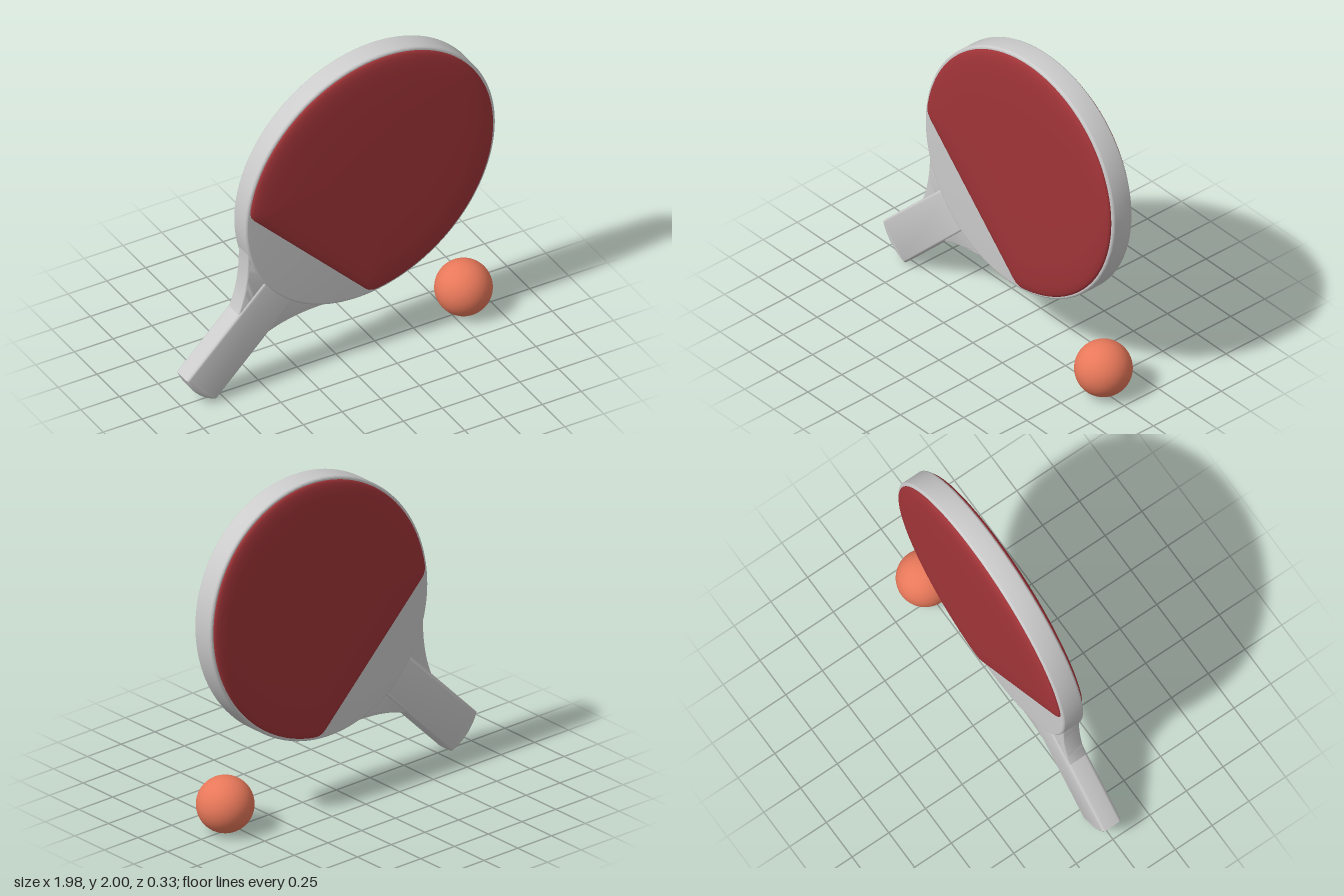
import * as THREE from 'three';
import { toCreasedNormals } from 'three/addons/utils/BufferGeometryUtils.js';

const grey = new THREE.MeshStandardMaterial({ color: 0xcccccc });
const red = new THREE.MeshStandardMaterial({ color: 0xa03438 });
const orange = new THREE.MeshStandardMaterial({ color: 0xe8785a });

function addMesh(parent, name, geometry, material) {
  const mesh = new THREE.Mesh(geometry, material);
  mesh.name = name;
  parent.add(mesh);
  return mesh;
}

// Slab centred on z = 0 with rounded edges; the shape keeps its outline size
function slab(shape, halfDepth, bevel, curveSegments) {
  const depth = 2 * (halfDepth - bevel);
  const geometry = new THREE.ExtrudeGeometry(shape, {
    depth, curveSegments, bevelEnabled: true, bevelSize: bevel,
    bevelThickness: bevel, bevelOffset: -bevel, bevelSegments: 4,
  });
  geometry.translate(0, 0, -depth / 2);
  return toCreasedNormals(geometry, 0.7);
}

// Domed pad: the outline is shrunk ring by ring towards a centre
function dome(outline, centreY, profile) {
  const n = outline.length;
  const positions = [], indices = [];
  for (const [scale, z] of profile) {
    for (const p of outline) {
      positions.push(p.x * scale, centreY + (p.y - centreY) * scale, z);
    }
  }
  for (let r = 0; r < profile.length - 1; r++) {
    for (let i = 0; i < n; i++) {
      const a = r * n + i, b = r * n + (i + 1) % n;
      indices.push(a, b, b + n, a, b + n, a + n);
    }
  }
  const top = positions.length / 3;
  const last = (profile.length - 1) * n;
  positions.push(0, centreY, profile[profile.length - 1][1]);
  for (let i = 0; i < n; i++) indices.push(last + i, last + (i + 1) % n, top);
  const geometry = new THREE.BufferGeometry();
  geometry.setAttribute('position', new THREE.Float32BufferAttribute(positions, 3));
  geometry.setIndex(indices);
  geometry.computeVertexNormals();
  return geometry;
}

export function createModel() {
  const model = new THREE.Group();

  // Paddle is built upright around the blade centre, then tilted
  const paddle = new THREE.Group();
  paddle.name = 'paddle';
  paddle.position.set(0.185, 1.195, 0);
  paddle.rotation.z = -Math.PI / 4;
  model.add(paddle);

  // Oval blade
  const a = 0.761, b = 0.847;
  const oval = new THREE.Shape();
  oval.absellipse(0, 0, a, b, 0, Math.PI * 2);
  addMesh(paddle, 'blade', slab(oval, 0.07, 0.014, 100), grey);

  // Rubber outline: oval cut by a straight chord with small rounded corners
  const ra = a - 0.019, rb = b - 0.019, cut = -0.558;
  const t0 = Math.asin(cut / rb);
  const cornerX = ra * Math.cos(t0);
  const start = t0 + 0.05, end = Math.PI - start;
  const edge = new THREE.Path();
  edge.moveTo(-cornerX + 0.04, cut);
  edge.lineTo(cornerX - 0.04, cut);
  edge.quadraticCurveTo(cornerX, cut, ra * Math.cos(start), rb * Math.sin(start));
  edge.absellipse(0, 0, ra, rb, start, end);
  edge.quadraticCurveTo(-cornerX, cut, -cornerX + 0.04, cut);
  const outline = edge.getSpacedPoints(160).slice(0, -1);
  const profile = [
    [1, 0.06], [1, 0.073], [0.995, 0.079], [0.98, 0.086], [0.94, 0.093],
    [0.87, 0.099], [0.75, 0.103], [0.5, 0.106], [0.2, 0.107],
  ];
  const pad = dome(outline, 0.1, profile);
  addMesh(paddle, 'frontRubber', pad, red);
  addMesh(paddle, 'backRubber', pad, red).rotation.y = Math.PI;

  // Handle with a slightly bowed end
  const grip = new THREE.Shape();
  grip.moveTo(-0.133, -0.74);
  grip.lineTo(-0.133, -1.535);
  grip.quadraticCurveTo(0, -1.595, 0.133, -1.535);
  grip.lineTo(0.133, -0.74);
  addMesh(paddle, 'handle', slab(grip, 0.066, 0.022, 20), grey);

  // Concave neck flaring from the handle to the blade
  const neck = new THREE.Shape();
  neck.moveTo(-0.13, -1.07);
  neck.lineTo(0.13, -1.07);
  neck.quadraticCurveTo(0.2, -0.89, 0.4, -0.71);
  neck.lineTo(0.36, -0.62);
  neck.lineTo(-0.36, -0.62);
  neck.lineTo(-0.4, -0.71);
  neck.quadraticCurveTo(-0.2, -0.89, -0.13, -1.07);
  addMesh(paddle, 'neck', slab(neck, 0.056, 0.01, 20), grey);

  // Ball resting on the ground
  const ball = addMesh(model, 'ball', new THREE.SphereGeometry(0.164, 48, 32), orange);
  ball.position.set(0.823, 0.168, 0);

  return model;
}
